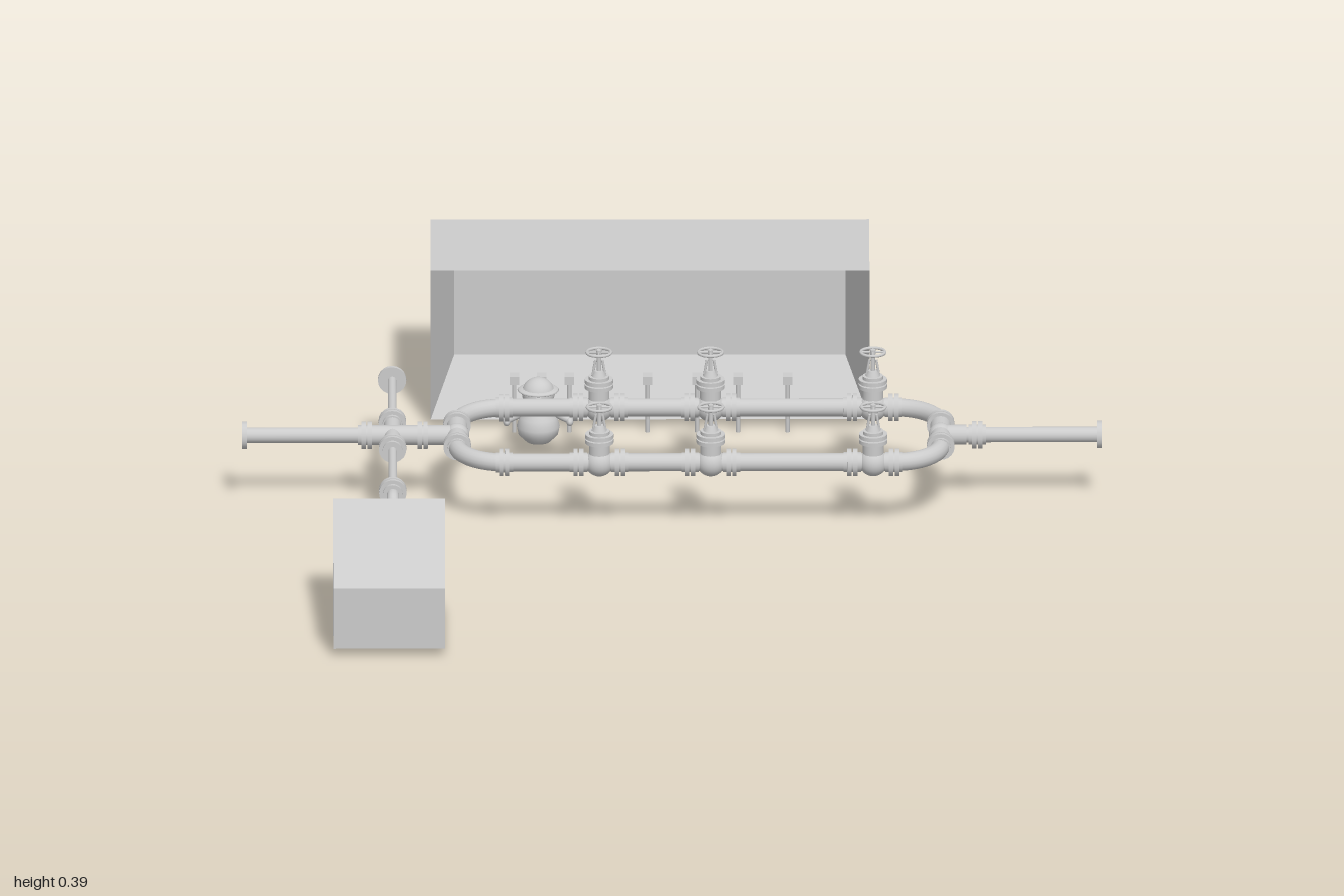
import * as THREE from 'three';

const mat = new THREE.MeshStandardMaterial({ color: 0xcccccc });
const V = (x, y, z) => new THREE.Vector3(x, y, z);

function add(parent, name, geo, x = 0, y = 0, z = 0) {
  const m = new THREE.Mesh(geo, mat);
  m.name = name;
  m.position.set(x, y, z);
  parent.add(m);
  return m;
}

// Straight round bar between two points
function rod(parent, name, a, b, r, r2 = r, seg = 20) {
  const d = b.clone().sub(a), mid = a.clone().add(b).multiplyScalar(0.5);
  const m = add(parent, name, new THREE.CylinderGeometry(r2, r, d.length(), seg), mid.x, mid.y, mid.z);
  m.quaternion.setFromUnitVectors(V(0, 1, 0), d.normalize());
  return m;
}

// Bolted joint: two discs with a narrow gap between them
function flange(parent, at, axis, r = 0.032, half = 0.012) {
  const g = new THREE.Group();
  g.name = 'flange';
  for (const s of [-1, 1]) rod(g, 'flangeDisc', V(0, s * half * 0.15, 0), V(0, s * half, 0), r);
  rod(g, 'flangeCore', V(0, -half * 1.7, 0), V(0, half * 1.7, 0), r * 0.72);
  g.quaternion.setFromUnitVectors(V(0, 1, 0), axis);
  g.position.copy(at);
  parent.add(g);
}

// Handwheel with rim, hub and spokes
function handwheel(parent, y, r) {
  const g = new THREE.Group();
  g.name = 'handwheel';
  add(g, 'rim', new THREE.TorusGeometry(r, r * 0.13, 8, 24).rotateX(Math.PI / 2));
  rod(g, 'hub', V(0, -0.006, 0), V(0, 0.006, 0), r * 0.22);
  for (let i = 0; i < 2; i++) {
    const c = Math.cos(i * Math.PI / 2) * r, s = Math.sin(i * Math.PI / 2) * r;
    rod(g, 'spoke', V(-c, 0, -s), V(c, 0, s), r * 0.09, r * 0.09, 8);
  }
  g.position.y = y;
  parent.add(g);
}

// Gate valve on a pipe running along x
function valve(parent, x, y, z) {
  const g = new THREE.Group();
  g.name = 'valve';
  add(g, 'valveBody', new THREE.SphereGeometry(0.033, 24, 16));
  for (const s of [-1, 1]) flange(g, V(s * 0.048, 0, 0), X);
  rod(g, 'valveNeck', V(0, 0, 0), V(0, 0.06, 0), 0.024);
  flange(g, V(0, 0.06, 0), Y, 0.033, 0.011);
  rod(g, 'bonnet', V(0, 0.065, 0), V(0, 0.092, 0), 0.022, 0.011);
  rod(g, 'stem', V(0, 0.09, 0), V(0, 0.142, 0), 0.005);
  for (const s of [-1, 1]) rod(g, 'yoke', V(s * 0.016, 0.07, 0), V(s * 0.008, 0.118, 0), 0.003, 0.003, 8);
  handwheel(g, 0.137, 0.028);
  g.position.set(x, y, z);
  parent.add(g);
}

// Shelter open towards +z, with a recess that narrows to the back
function shelter(name, w, hFront, hBack, depth, inset) {
  const ring = (hw, y0, y1, z) => [V(-hw, y0, z), V(hw, y0, z), V(hw, y1, z), V(-hw, y1, z)];
  const F = ring(w / 2, 0, hFront, 0), B = ring(w / 2, 0, hBack, -depth);
  const I = ring(w / 2 - inset, inset, hBack - inset, inset - depth);
  const pos = [];
  const quad = (a, b, c, d) => [a, b, c, a, c, d].forEach(p => pos.push(p.x, p.y, p.z));
  for (let i = 0; i < 4; i++) {
    const j = (i + 1) % 4;
    quad(F[i], B[i], B[j], F[j]);
    quad(F[i], F[j], I[j], I[i]);
  }
  quad(B[0], B[3], B[2], B[1]);
  quad(I[0], I[1], I[2], I[3]);
  const geo = new THREE.BufferGeometry();
  geo.setAttribute('position', new THREE.Float32BufferAttribute(pos, 3));
  geo.computeVertexNormals();
  const m = new THREE.Mesh(geo, mat);
  m.name = name;
  return m;
}

const X = V(1, 0, 0), Y = V(0, 1, 0), Z = V(0, 0, 1);

export function createModel() {
  const root = new THREE.Group();
  root.name = 'pipeYard';
  const H = 0.165, zc = -0.1;

  // Shelters
  const large = shelter('largeShelter', 1.02, 0.37, 0.37, 0.335, 0.055);
  large.position.set(-0.05, 0.02, -0.585);
  const small = shelter('smallShelter', 0.26, 0.26, 0.15, 0.3, 0.03);
  small.position.set(-0.66, 0.02, 0.62);
  small.rotation.y = Math.PI;
  root.add(large, small);

  // Main pipe, inlet and outlet
  const main = new THREE.Group();
  main.name = 'mainPipe';
  root.add(main);
  rod(main, 'inletPipe', V(-1, H, zc), V(-0.5, H, zc), 0.018);
  rod(main, 'outletPipe', V(0.625, H, zc), V(1, H, zc), 0.018);
  for (const x of [-0.71, -0.58, 0.71]) flange(main, V(x, H, zc), X);
  for (const s of [-1, 1]) rod(main, 'endFlange', V(s * 0.988, H, zc), V(s, H, zc), 0.032);
  rod(main, 'crossBody', V(-0.71, H, zc), V(-0.58, H, zc), 0.023);

  // Rounded loop with tees and valves
  const loop = new THREE.Group();
  loop.name = 'pipeLoop';
  root.add(loop);
  const x0 = -0.5, x1 = 0.625, z0 = -0.28, z1 = 0.08, R = 0.11, r = 0.021;
  const corners = [[x1 - R, z1 - R], [x0 + R, z1 - R], [x0 + R, z0 + R], [x1 - R, z0 + R]];
  corners.forEach(([x, z], k) => {
    const bend = new THREE.TorusGeometry(R, r, 16, 20, Math.PI / 2).rotateX(Math.PI / 2).rotateY(-k * Math.PI / 2);
    add(loop, 'loopBend', bend, x, H, z);
  });
  for (const z of [z0, z1]) {
    rod(loop, 'loopSide', V(x0 + R, H, z), V(x1 - R, H, z), r);
    flange(loop, V(x0 + R, H, z), X);
    for (const x of [-0.17, 0.09, 0.467]) valve(loop, x, H, z);
  }
  for (const x of [x0, x1]) {
    const s = Math.sign(x);
    rod(loop, 'teeRun', V(x, H, z0 + R), V(x, H, z1 - R), 0.024);
    rod(loop, 'teeBranch', V(x, H, zc), V(x + s * 0.06, H, zc), 0.023);
    add(loop, 'teeCore', new THREE.SphereGeometry(0.028, 20, 14), x, H, zc);
    for (const z of [z0 + R, z1 - R]) flange(loop, V(x, H, z), Z);
  }

  // Thin branch pipe stepping down to the small shelter
  const branch = new THREE.Group();
  branch.name = 'branchPipe';
  root.add(branch);
  const bx = -0.65, low = 0.07, br = 0.01, zd = 0.325, e = 0.03;
  rod(branch, 'upperRun', V(bx, H, -0.465), V(bx, H, zd - e), br);
  rod(branch, 'crossArm', V(bx, H, zc - 0.085), V(bx, H, zc + 0.085), 0.02);
  rod(branch, 'endFlange', V(bx, H, -0.467), V(bx, H, -0.457), 0.033);
  for (const z of [-0.185, -0.015, 0.27]) flange(branch, V(bx, H, z), Z);
  const step = new THREE.CurvePath();
  step.add(new THREE.LineCurve3(V(bx, H, 0.27), V(bx, H, zd - e)));
  step.add(new THREE.QuadraticBezierCurve3(V(bx, H, zd - e), V(bx, H, zd), V(bx, H - e, zd)));
  step.add(new THREE.LineCurve3(V(bx, H - e, zd), V(bx, low + e, zd)));
  step.add(new THREE.QuadraticBezierCurve3(V(bx, low + e, zd), V(bx, low, zd), V(bx, low, zd + e)));
  step.add(new THREE.LineCurve3(V(bx, low, zd + e), V(bx, low, 0.38)));
  add(branch, 'stepDown', new THREE.TubeGeometry(step, 48, 0.014, 14));
  flange(branch, V(bx, 0.118, zd), Y, 0.03);
  flange(branch, V(bx, low, 0.375), Z, 0.032);
  rod(branch, 'lowerRun', V(bx, low, 0.375), V(bx, low, 0.62), br);
  for (const z of [0.583, 0.608]) flange(branch, V(bx, low, z), Z, z < 0.6 ? 0.034 : 0.028, 0.008);
  const tap = new THREE.Group();
  tap.name = 'tapValve';
  tap.position.set(bx, low, 0.602);
  add(tap, 'tapBody', new THREE.SphereGeometry(0.019, 16, 12));
  rod(tap, 'tapStem', V(0, 0, 0), V(0, 0.048, 0), 0.005);
  handwheel(tap, 0.046, 0.023);
  branch.add(tap);

  // Row of marker posts
  for (const x of [-0.365, -0.302, -0.238, -0.16, -0.055, 0.06, 0.155, 0.27]) {
    const post = new THREE.Group();
    post.name = 'markerPost';
    post.position.set(x, 0, -0.555);
    rod(post, 'postStem', V(0, 0, 0), V(0, 0.13, 0), 0.005, 0.005, 8);
    add(post, 'postHead', new THREE.BoxGeometry(0.022, 0.02, 0.03), 0, 0.132, 0);
    root.add(post);
  }

  // Small round figure
  const fig = new THREE.Group();
  fig.name = 'figure';
  fig.position.set(-0.31, 0, -0.415);
  const profile = [[0, 0.028], [0.028, 0.032], [0.046, 0.05], [0.05, 0.07], [0.043, 0.092], [0.03, 0.11], [0.022, 0.125]];
  add(fig, 'body', new THREE.LatheGeometry(profile.map(p => new THREE.Vector2(...p)), 28));
  add(fig, 'head', new THREE.SphereGeometry(0.038, 24, 16), 0, 0.15, 0);
  add(fig, 'brim', new THREE.SphereGeometry(0.048, 24, 10).scale(1, 0.16, 0.95), 0, 0.158, 0);
  add(fig, 'nose', new THREE.SphereGeometry(0.01, 12, 8), 0, 0.145, 0.038);
  for (const s of [-1, 1]) {
    rod(fig, 'arm', V(s * 0.03, 0.105, 0), V(s * 0.07, 0.085, 0.005), 0.01, 0.008, 12);
    add(fig, 'hand', new THREE.SphereGeometry(0.011, 12, 8).scale(0.8, 1, 1.6), s * 0.073, 0.082, 0.005);
  }
  root.add(fig);

  return root;
}
